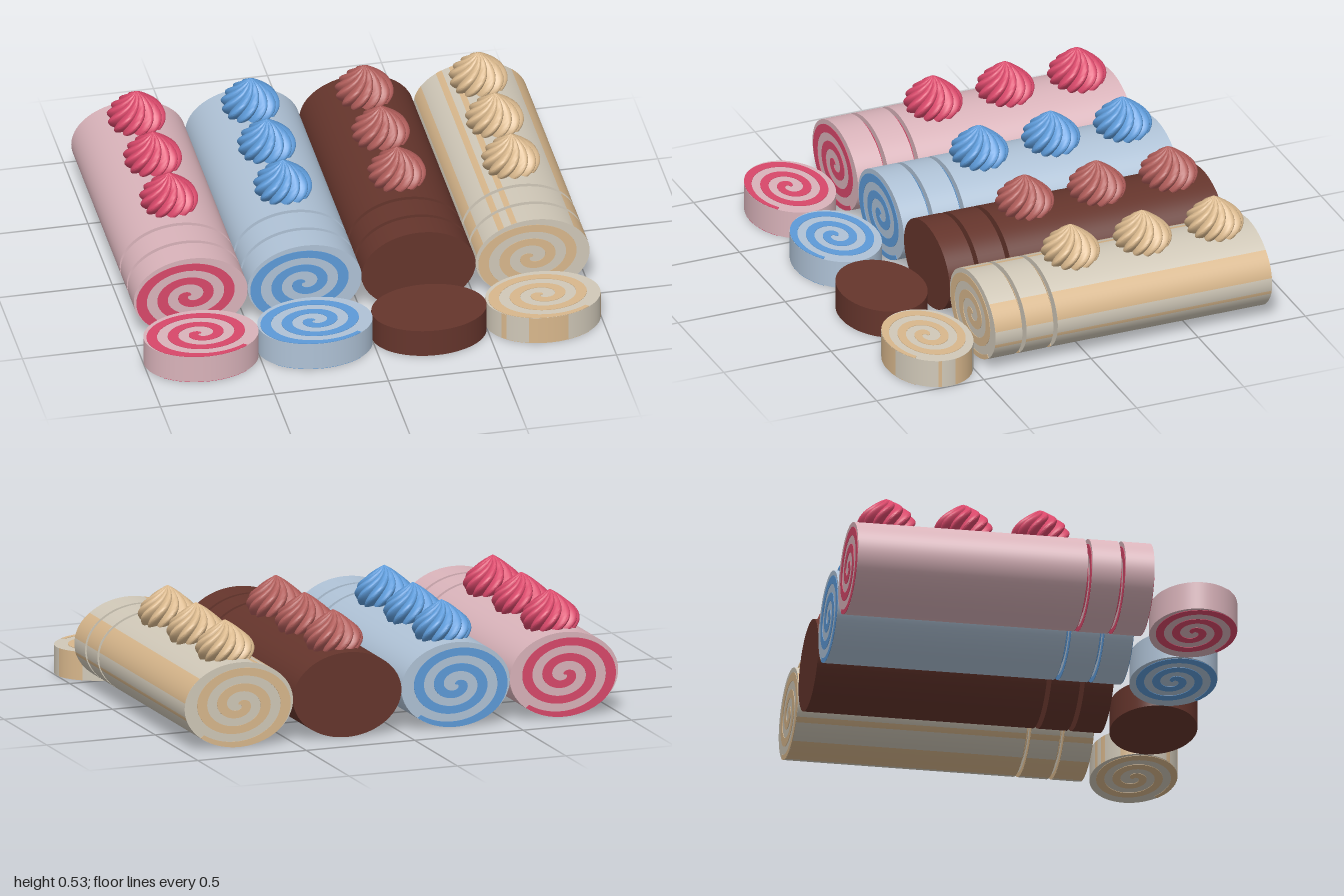
import * as THREE from 'three';
import { toCreasedNormals } from 'three/addons/utils/BufferGeometryUtils.js';

const RX = 0.25, RY = 0.187, SLICE = 0.125;
const rad = THREE.MathUtils.degToRad;

function material(name, color) {
  const m = new THREE.MeshStandardMaterial({ color });
  m.name = name;
  return m;
}

function mesh(name, geometry, mat) {
  const m = new THREE.Mesh(geometry, mat);
  m.name = name;
  return m;
}

// Spiral filling as a thin plate: a band that winds outward and ends at the rim
function spiralGeometry() {
  const pitch = 0.37, half = 0.092, steps = 150;
  const endAngle = rad(315), turns = 2.75;
  const outer = [], inner = [];
  for (let i = 0; i <= steps; i++) {
    const back = turns * (1 - i / steps);
    const a = endAngle - back * Math.PI * 2;
    const r = 1 - pitch * back;
    const at = (k) => new THREE.Vector2(Math.cos(a) * RX, Math.sin(a) * RY).multiplyScalar(k);
    const w = Math.min(half, Math.max(r, 0.02) * 0.9);
    outer.push(at(Math.min(r + w, 0.997)));
    inner.push(at(Math.max(r - w, 0.003)));
  }
  const shape = new THREE.Shape([...outer, ...inner.reverse()]);
  const g = new THREE.ExtrudeGeometry(shape, { depth: 0.004, bevelEnabled: false });
  return g.translate(0, 0, -0.002);
}

// Piped cream: lobed rings that twist as they rise to a point
function dollopGeometry() {
  const profile = [[0.1, 0.345], [0.119, 0.372], [0.128, 0.402], [0.119, 0.433],
    [0.094, 0.461], [0.062, 0.487], [0.03, 0.51], [0.001, 0.527]];
  const curve = new THREE.SplineCurve(profile.map(([r, y]) => new THREE.Vector2(r, y)));
  const lobes = 12, cols = lobes * 8, rows = 18;
  const pos = [], index = [];
  for (let j = 0; j <= rows; j++) {
    const p = curve.getPoint(j / rows);
    const twist = 1.5 * j / rows;
    for (let i = 0; i < cols; i++) {
      const a = i / cols * Math.PI * 2;
      const r = p.x * (0.8 + 0.2 * Math.abs(Math.sin(a * lobes / 2)));
      pos.push(r * Math.sin(a + twist), p.y, r * Math.cos(a + twist));
    }
  }
  for (let j = 0; j < rows; j++) {
    for (let i = 0; i < cols; i++) {
      const a = j * cols + i, b = j * cols + (i + 1) % cols;
      index.push(a, b, b + cols, a, b + cols, a + cols);
    }
  }
  const g = new THREE.BufferGeometry();
  g.setAttribute('position', new THREE.Float32BufferAttribute(pos, 3));
  g.setIndex(index);
  return toCreasedNormals(g, 0.65);
}

// Oval cylinder along z, or an open strip of its side
function ovalGeometry(length, scale = 1, open = false, start = 0, sweep = Math.PI * 2) {
  const segments = open ? Math.max(3, Math.ceil(sweep / 0.08)) : 72;
  const g = new THREE.CylinderGeometry(1, 1, length, segments, 1, open, start, sweep);
  return g.rotateX(Math.PI / 2).scale(RX * scale, RY * scale, 1);
}

export function createModel() {
  const model = new THREE.Group();
  model.name = 'swissRolls';

  const flavours = [
    { name: 'raspberry', sponge: material('palePink', 0xd9b3ba), filling: material('raspberryPink', 0xd8486a) },
    { name: 'blueberry', sponge: material('paleBlue', 0xafc2d6), filling: material('skyBlue', 0x5d9ad8) },
    { name: 'chocolate', sponge: material('darkBrown', 0x65352c), filling: material('dustyRose', 0xb05d5a), plain: true },
    { name: 'caramel', sponge: material('cream', 0xd0c8b8), filling: material('caramelTan', 0xd8b78c), streaked: true },
  ];
  // Streak angles in degrees around the caramel roll
  const streaks = [[-16, -11], [8, 44], [106, 112], [120, 127], [150, 168], [215, 222], [247, 287]];
  const spiral = spiralGeometry();
  const dollop = dollopGeometry();

  function piece(name, flavour, length) {
    const g = new THREE.Group();
    g.name = name;
    g.add(mesh('sponge', ovalGeometry(length), flavour.sponge));
    if (!flavour.plain) {
      for (const side of [-1, 1]) {
        const s = mesh('spiralFilling', spiral, flavour.filling);
        s.position.z = side * length / 2;
        g.add(s);
      }
    }
    if (flavour.streaked) {
      for (const [a, b] of streaks) {
        const strip = ovalGeometry(length, 1.003, true, rad(a + 90), rad(b - a));
        g.add(mesh('sideStreak', strip, flavour.filling));
      }
    }
    return g;
  }

  flavours.forEach((flavour, i) => {
    const roll = new THREE.Group();
    roll.name = flavour.name + 'Roll';
    roll.position.x = -0.75 + i * 0.5;

    // Uncut roll and two standing slices
    const body = piece('rollBody', flavour, 1);
    body.position.set(0, RY, -0.345);
    roll.add(body);
    for (const z of [0.238, 0.383]) {
      const slice = piece('standingSlice', flavour, SLICE);
      slice.position.set(0, RY, z);
      roll.add(slice);
    }

    // Slice lying flat at the front
    const flat = piece('flatSlice', flavour, SLICE);
    flat.rotation.x = -Math.PI / 2;
    flat.position.set(0, SLICE / 2, 0.657);
    roll.add(flat);

    // Cream dollops along the top
    for (const z of [-0.68, -0.345, -0.01]) {
      const d = mesh('creamDollop', dollop, flavour.filling);
      d.position.z = z;
      roll.add(d);
    }
    model.add(roll);
  });
  return model;
}
